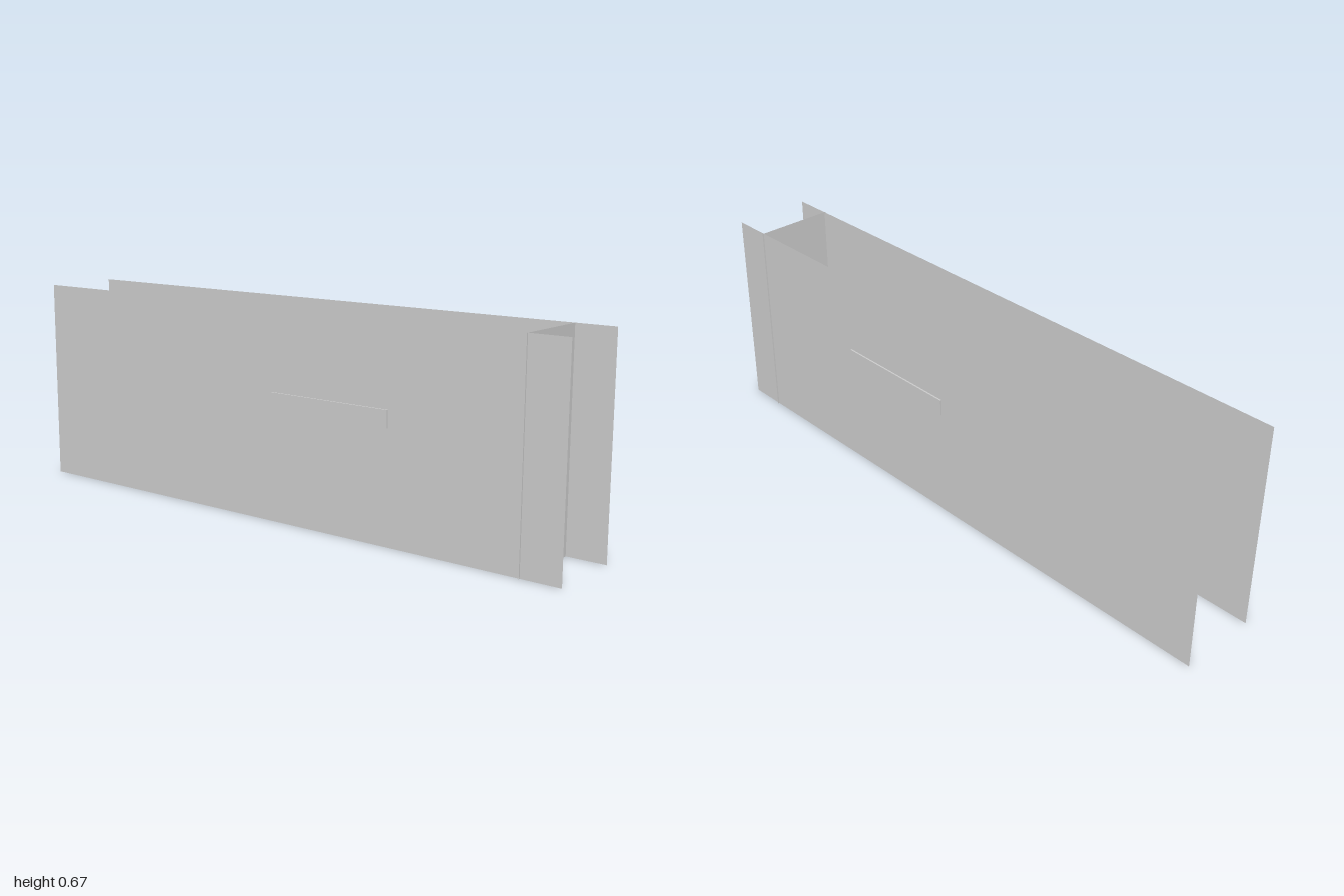
import * as THREE from 'three';

const HEIGHT = 0.667, LENGTH = 2, WIDTH = 0.266, SIDE_X = 0.128;

export function createModel() {
  const group = new THREE.Group();
  const solid = new THREE.MeshStandardMaterial({ color: 0xcccccc });
  const sheet = new THREE.MeshStandardMaterial({ color: 0xcccccc, side: THREE.DoubleSide });

  const add = (name, geometry, material, x, y, z) => {
    const mesh = new THREE.Mesh(geometry, material);
    mesh.name = name;
    mesh.position.set(x, y, z);
    group.add(mesh);
    return mesh;
  };

  // Two long paper-thin side panels
  for (const [name, s] of [['leftPanel', 1], ['rightPanel', -1]]) {
    const panel = add(name, new THREE.PlaneGeometry(LENGTH, HEIGHT), sheet, s * SIDE_X, HEIGHT / 2, 0);
    panel.rotation.y = s * Math.PI / 2;
  }

  // Cross panel near the front, its edges poking slightly through the sides
  add('crossPanel', new THREE.PlaneGeometry(WIDTH, HEIGHT), sheet, 0, HEIGHT / 2, 0.873);

  // Flat bar passing through both side panels
  add('crossBar', new THREE.BoxGeometry(WIDTH, 0.054, 0.43), solid, 0, 0.38, 0.215);

  return group;
}
